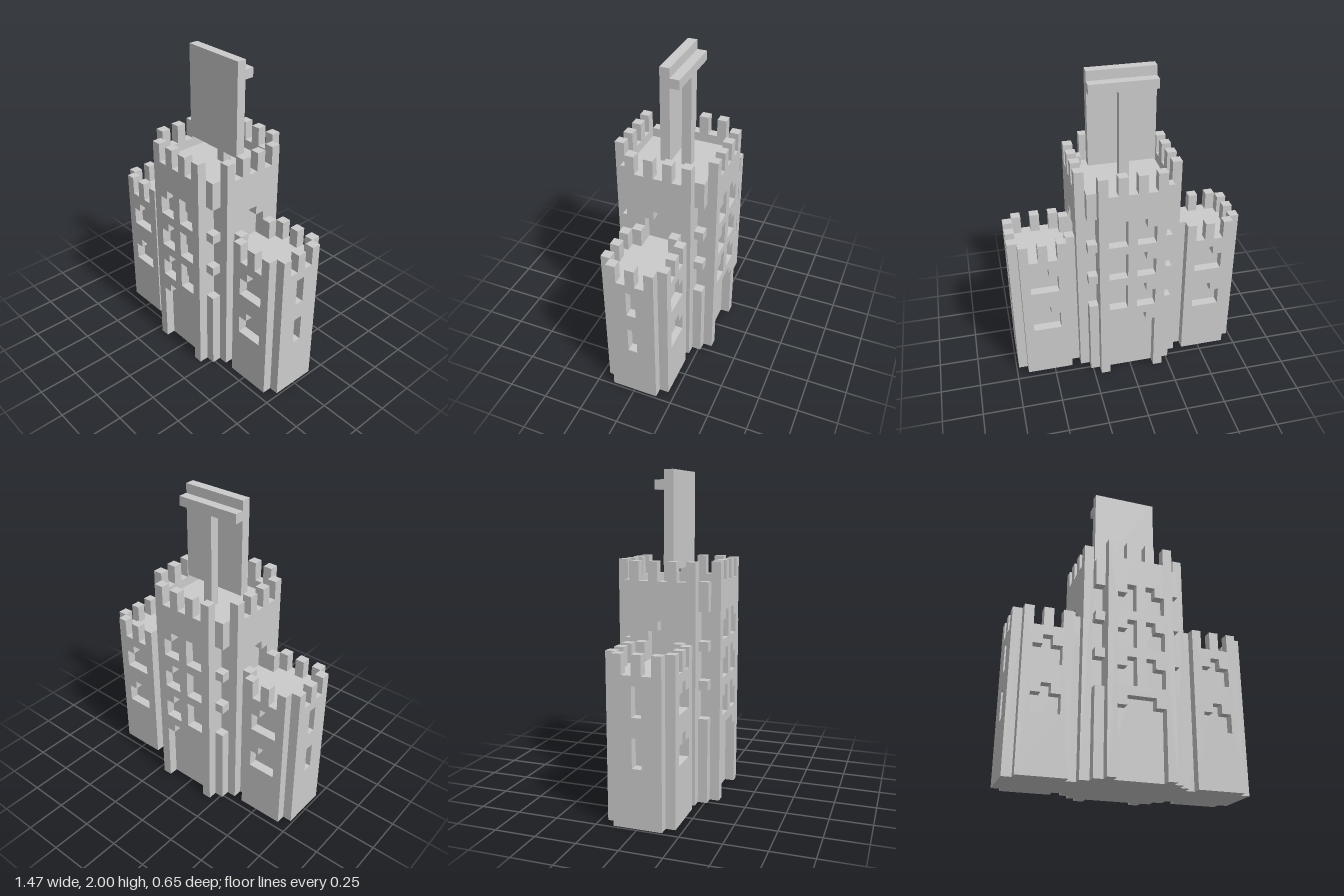
import * as THREE from 'three';

const UNIT = 2 / 34; // one block of the grid

export function createModel() {
  const model = new THREE.Group();
  const blocks = new THREE.Group();
  blocks.name = 'castle';
  blocks.scale.setScalar(UNIT);
  model.add(blocks);
  const material = new THREE.MeshStandardMaterial({ color: 0xcccccc, flatShading: true });

  function add(name, geometry) {
    const mesh = new THREE.Mesh(geometry, material);
    mesh.name = name;
    blocks.add(mesh);
  }

  // Box given by its limits, in blocks
  function box(name, x0, x1, y0, y1, z0, z1) {
    const g = new THREE.BoxGeometry(x1 - x0, y1 - y0, z1 - z0);
    g.translate((x0 + x1) / 2, (y0 + y1) / 2, (z0 + z1) / 2);
    add(name, g);
  }

  const points = (list) => list.map(([x, y]) => new THREE.Vector2(x, y));

  // Wall one block thick with a battlement on every other block
  function wall(name, width, height, holes, { doorway = [], out, angle = 0, x = 0 }) {
    const h = width / 2;
    const outline = [[-h, 0], ...doorway, [h, 0]];
    for (let i = width - 1; i >= 0; i--) {
      const y = i % 2 ? height - 2 : height;
      outline.push([i + 1 - h, y], [i - h, y]);
    }
    const shape = new THREE.Shape(points(outline));
    shape.holes = holes.map((hole) => new THREE.Path(points(hole)));
    const g = new THREE.ExtrudeGeometry(shape, { depth: 1, bevelEnabled: false });
    g.translate(0, 0, out).rotateY(angle).translate(x, 0, 0);
    add(name, g);
  }

  // Stepped opening: wide below, one block wide on top
  const stepped = (y, low) => [
    [-1.5, y], [1.5, y], [1.5, y + low], [0.5, y + low],
    [0.5, y + low + 1], [-0.5, y + low + 1], [-0.5, y + low], [-1.5, y + low],
  ];
  const slit = (y) => [[-0.5, y], [0.5, y], [0.5, y + 3], [-0.5, y + 3]];

  // Half-arch windows in mirrored pairs
  const towerWindows = [];
  for (const y of [9, 13, 17]) {
    for (const s of [-1, 1]) {
      towerWindows.push([[0.5, y], [2.5, y], [2.5, y + 2], [1.5, y + 2], [1.5, y + 3], [0.5, y + 3]]
        .map(([x, v]) => [s * x, v]));
    }
  }
  const doorway = [[-2.5, 0], [-2.5, 7], [-1.5, 7], [-1.5, 8], [1.5, 8], [1.5, 7], [2.5, 7], [2.5, 0]];

  // Central tower, with its roof sunk behind the parapet
  box('towerCoreWide', -4.5, 4.5, 0, 22, -3.5, 3.5);
  box('towerCoreDeep', -3.5, 3.5, 0, 22, -4.5, 4.5);
  wall('towerFrontWall', 7, 25, towerWindows, { doorway, out: 4.5 });
  wall('towerBackWall', 7, 25, towerWindows, { doorway, out: 4.5, angle: Math.PI });

  for (const s of [-1, 1]) {
    const angle = s * Math.PI / 2;
    const side = s > 0 ? 'left' : 'right';
    wall(side + 'TowerWall', 7, 25, [stepped(15, 3)], { out: 4.5, angle });

    // Corner pilasters and stones
    for (const t of [-1, 1]) {
      for (const [y0, y1] of [[0, 9], [12, 13], [16, 17], [20, 23]]) {
        box(side + 'CornerStone', s * 4 - 0.5, s * 4 + 0.5, y0, y1, t * 4 - 0.5, t * 4 + 0.5);
      }
      // Battlement where the wing meets the tower
      box(side + 'WingInnerBattlement', s * 6 - 0.5, s * 6 + 0.5, 15, 17, t * 2 - 0.5, t * 2 + 0.5);
    }

    // Wing
    box(side + 'WingCore', s * 8.5 - 3, s * 8.5 + 3, 0, 15, -2.5, 2.5);
    const windows = [stepped(6, 2), stepped(11, 2)];
    wall(side + 'WingFrontWall', 5, 17, windows, { out: 2.5, x: s * 9 });
    wall(side + 'WingBackWall', 5, 17, windows, { out: 2.5, angle: Math.PI, x: s * 9 });
    wall(side + 'WingEndWall', 5, 17, [slit(6), slit(11)], { out: 11.5, angle });
  }

  // Board on the roof with its T-shaped support behind
  box('roofBoard', -3.5, 3.5, 24, 34, -0.5, 0.5);
  box('boardPost', -0.5, 0.5, 22, 32, -1.5, -0.5);
  box('boardCrossbar', -3.5, 3.5, 32, 33, -1.5, -0.5);

  return model;
}
